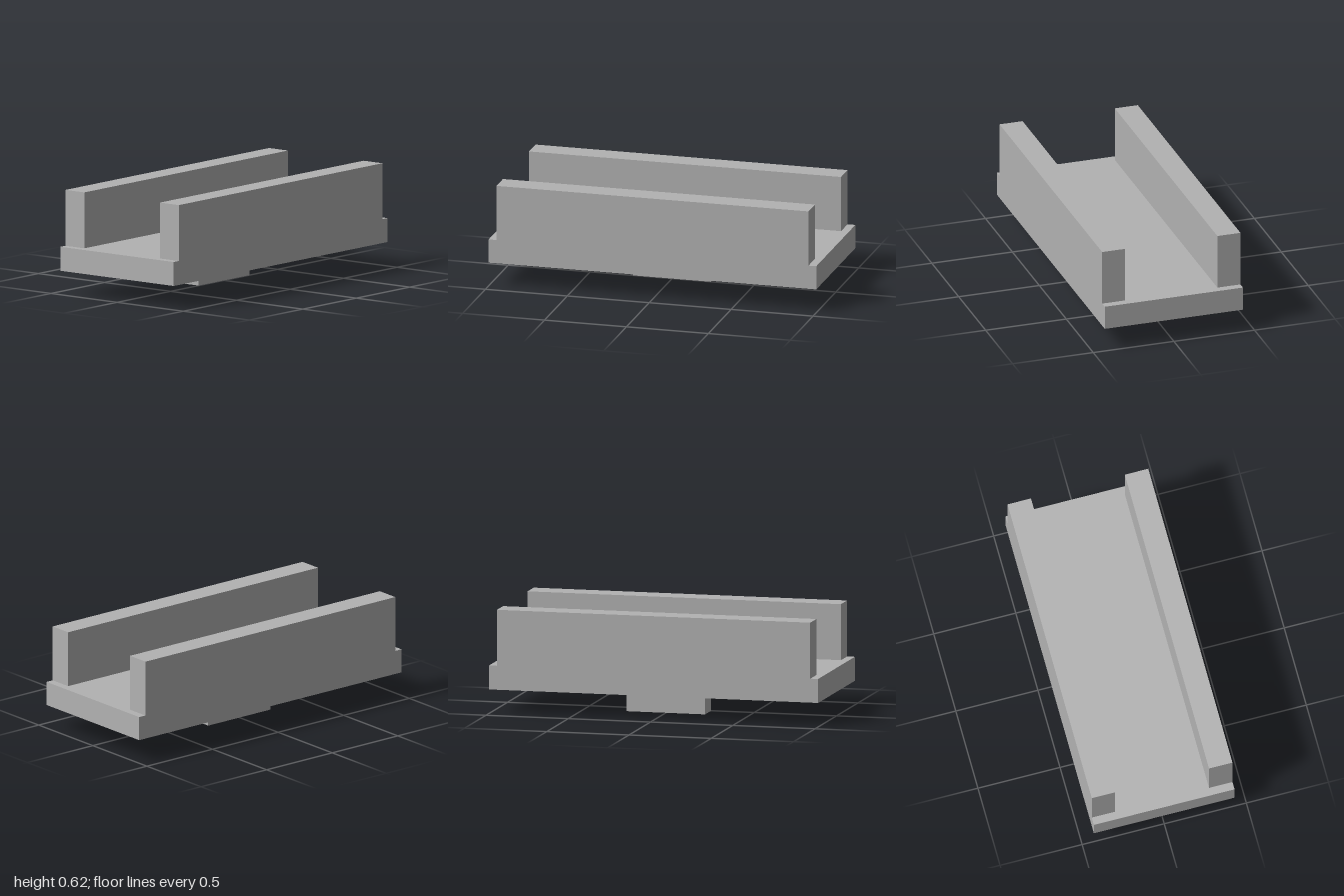
import * as THREE from 'three';

// All sizes are whole multiples of one module, the total length being 42.
const U = 1 / 21;

export function createModel() {
  const model = new THREE.Group();
  model.name = 'channelBlock';
  const grey = new THREE.MeshStandardMaterial({ color: 0xb2b2b2 });
  grey.name = 'plain grey';

  // Box with its base at y, centred on x = 0 and on the given z.
  function addBlock(name, width, height, depth, y, z) {
    const geometry = new THREE.BoxGeometry(width * U, height * U, depth * U);
    const mesh = new THREE.Mesh(geometry, grey);
    mesh.name = name;
    mesh.position.set(0, (y + height / 2) * U, z * U);
    model.add(mesh);
  }

  // Base plate
  addBlock('basePlate', 42, 3, 18, 3, 0);

  // Side walls, slightly shorter than the plate
  addBlock('frontWall', 40, 7, 3, 6, 7.5);
  addBlock('backWall', 40, 7, 3, 6, -7.5);

  // Locating tab underneath, set behind the centre line
  addBlock('bottomTab', 10, 3, 3, 0, -1.5);

  return model;
}
